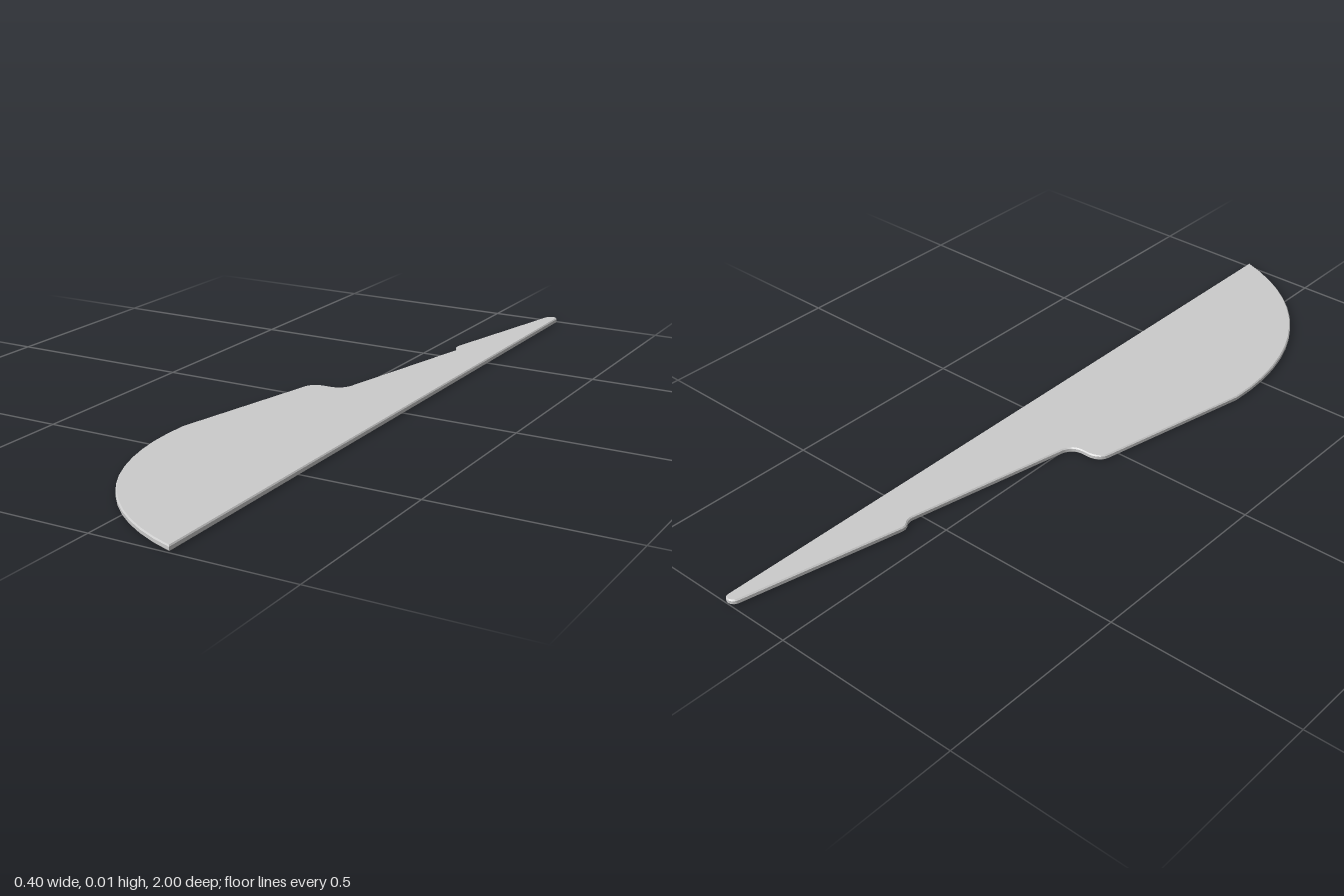
import * as THREE from 'three';
import { toCreasedNormals } from 'three/addons/utils/BufferGeometryUtils.js';

const HEIGHT = 0.014;
const CHAMFER = 0.003;

// Plan outline, drawn with the shape's y pointing to the back (-z)
function bladeOutline() {
  const s = new THREE.Shape();
  s.moveTo(0.198, -0.997);
  // straight edge up to the rounded tip
  s.lineTo(0.198, 0.984);
  s.bezierCurveTo(0.198, 1.005, 0.168, 1.005, 0.163, 0.982);
  // narrow tang with a small step
  s.lineTo(0.071, 0.572);
  s.quadraticCurveTo(0.069, 0.562, 0.076, 0.552);
  s.quadraticCurveTo(0.086, 0.54, 0.083, 0.525);
  s.lineTo(-0.007, 0.095);
  // shoulder: hollow, then rounded corner
  s.quadraticCurveTo(-0.015, 0.065, -0.045, 0.063);
  s.lineTo(-0.068, 0.063);
  s.quadraticCurveTo(-0.101, 0.06, -0.108, 0.032);
  // wide blade and its curved end
  s.lineTo(-0.198, -0.385);
  s.bezierCurveTo(-0.215, -0.68, -0.06, -0.915, 0.198, -0.997);
  return s;
}

export function createModel() {
  const group = new THREE.Group();
  group.name = 'flatBlade';

  // Thin plate with chamfered rims
  const plate = new THREE.ExtrudeGeometry(bladeOutline(), {
    depth: HEIGHT - 2 * CHAMFER,
    bevelEnabled: true,
    bevelThickness: CHAMFER,
    bevelSize: CHAMFER,
    bevelOffset: -CHAMFER,
    bevelSegments: 1,
    curveSegments: 14,
  });
  plate.translate(0, 0, CHAMFER);
  plate.rotateX(-Math.PI / 2);

  const blade = new THREE.Mesh(
    toCreasedNormals(plate, 0.5),
    new THREE.MeshStandardMaterial({ color: 0xcccccc }),
  );
  blade.name = 'blade';
  group.add(blade);
  return group;
}
